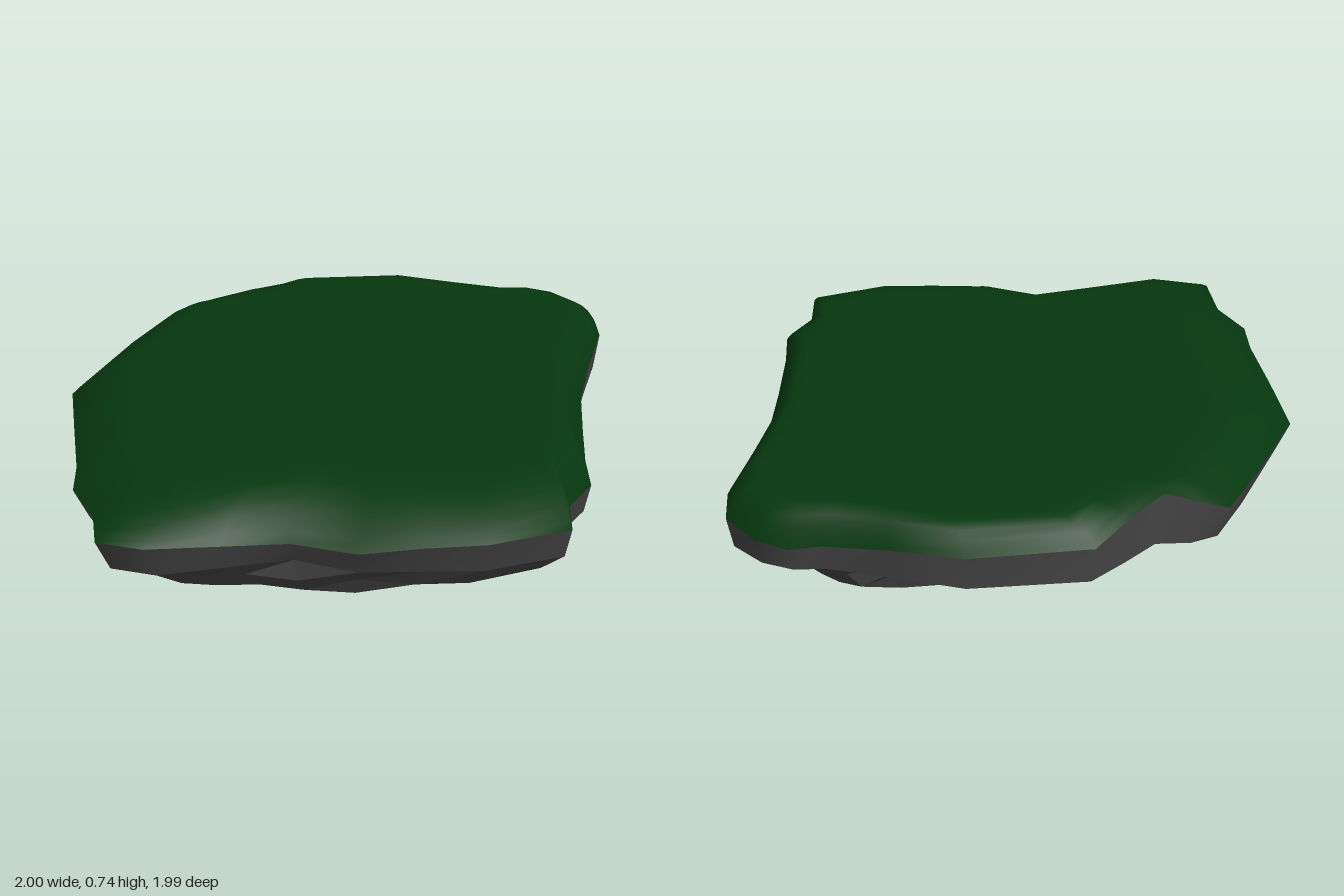
import * as THREE from 'three';

// Island outline as [x, z, rim height], anticlockwise from the front notch
const OUTLINE = [
  [-0.2, 0.9, 0.6], [0.02, 0.99, 0.61], [0.24, 0.99, 0.63], [0.45, 0.99, 0.64], [0.73, 0.9, 0.64],
  [0.74, 0.73, 0.63], [0.83, 0.59, 0.63], [0.83, 0.42, 0.63], [0.85, 0.18, 0.62], [0.87, -0.05, 0.63],
  [0.93, -0.3, 0.64], [1, -0.55, 0.64], [1, -0.69, 0.63], [0.9, -0.8, 0.61], [0.79, -0.85, 0.6],
  [0.68, -0.85, 0.61], [0.45, -0.92, 0.63], [0.21, -1, 0.64], [-0.22, -0.98, 0.65], [-0.35, -0.87, 0.7],
  [-0.47, -0.76, 0.72], [-0.6, -0.76, 0.68], [-0.7, -0.72, 0.63], [-0.82, -0.51, 0.63], [-1, -0.15, 0.62],
  [-0.97, 0.14, 0.63], [-0.94, 0.42, 0.63], [-0.94, 0.58, 0.63], [-0.86, 0.75, 0.63],
  [-0.84, 0.94, 0.64], [-0.68, 0.99, 0.64], [-0.44, 0.945, 0.62],
];

function seededRandom(seed) {
  return () => {
    seed = (seed * 16807) % 2147483647;
    return seed / 2147483647;
  };
}

// Skins a stack of closed rings, listed from top to bottom
function loft(rings) {
  const n = rings[0].length;
  const index = [];
  const same = (a, b) => a.distanceTo(b) < 1e-5;
  for (let i = 0; i < rings.length - 1; i++) {
    for (let j = 0; j < n; j++) {
      const k = (j + 1) % n;
      const a = i * n + j, b = i * n + k, c = a + n, d = b + n;
      if (!same(rings[i + 1][j], rings[i + 1][k])) index.push(c, d, b);
      if (!same(rings[i][j], rings[i][k])) index.push(c, b, a);
    }
  }
  const geometry = new THREE.BufferGeometry().setFromPoints(rings.flat());
  geometry.setIndex(index);
  geometry.computeVertexNormals();
  return geometry;
}

function part(name, rings, color, flatShading) {
  const mesh = new THREE.Mesh(loft(rings), new THREE.MeshStandardMaterial({ color, flatShading }));
  mesh.name = name;
  return mesh;
}

// Flat grass top; its sloping border is widest at the front and right
function grassRings() {
  const cx = 0.4, cz = -0.45, top = 0.735;
  const profile = [[0, 0], [0.78, 0], [0.85, 0], [0.9, 0.2], [0.945, 0.47], [0.98, 0.78], [1, 1]];
  return profile.map(([s, drop]) => OUTLINE.map(([x, z, rim]) =>
    new THREE.Vector3(cx + (x - cx) * s, top + (rim - top) * drop, cz + (z - cz) * s)));
}

// Chipped rock tapering to a point, with a hollow under the back edge and a ridge beside it
function rockRings() {
  const random = seededRandom(71);
  // height, x reach, z reach, rounding of the outline, roughness, hollow depth
  const levels = [
    [0.51, -0.95, 0.98, -0.98, 0.95, 0, 0, 0],
    [0.43, -0.86, 0.91, -0.82, 0.92, 0.15, 0.06, 0.04],
    [0.355, -0.73, 0.82, -0.7, 0.84, 0.25, 0.1, 0.14],
    [0.28, -0.59, 0.71, -0.61, 0.6, 0.4, 0.13, 0.26],
    [0.18, -0.49, 0.54, -0.48, 0.48, 0.5, 0.18, 0.25],
    [0.08, -0.26, 0.32, -0.34, 0.23, 0.6, 0.18, 0.15],
  ];
  const rings = [OUTLINE.map(([x, z, rim]) => new THREE.Vector3(x, rim, z))];
  for (const [y, x0, x1, z0, z1, round, rough, hollow] of levels) {
    let chip = 0;
    rings.push(OUTLINE.map(([x, z], j) => {
      // Neighbouring points share a chip so that facets stay broad
      if (j % 2 === 0) chip = random() * rough;
      const cleanSide = j >= 5 && j <= 13;
      let cut = cleanSide ? 0 : chip;
      if (j === 0) cut = -rough * 0.4; // the front notch fades out downwards
      if (j === 13) cut = -hollow * 0.3;
      if (j === 14 || j === 15) cut = -hollow * 0.75;
      if (j >= 16 && j <= 20) cut = hollow;
      const s = (1 - round + round / Math.hypot(x, z)) * (1 - cut);
      const px = x * s * (x < 0 ? -x0 : x1);
      const pz = z * s * (z < 0 ? -z0 : z1);
      const lift = cleanSide ? 0 : (random() - 0.5) * rough * 0.15;
      return new THREE.Vector3(px, y + lift, pz);
    }));
  }
  rings.push(OUTLINE.map(() => new THREE.Vector3(-0.01, 0, -0.06)));
  return rings;
}

export function createModel() {
  const island = new THREE.Group();
  island.name = 'floatingIsland';
  const rock = rockRings();
  island.add(
    part('grassTop', grassRings(), 0x06380f, false),
    // Smooth band below the grass, then the faceted underside
    part('rockRim', rock.slice(0, 2), 0x474747, false),
    part('rockBase', rock.slice(1), 0x474747, true),
  );
  return island;
}
